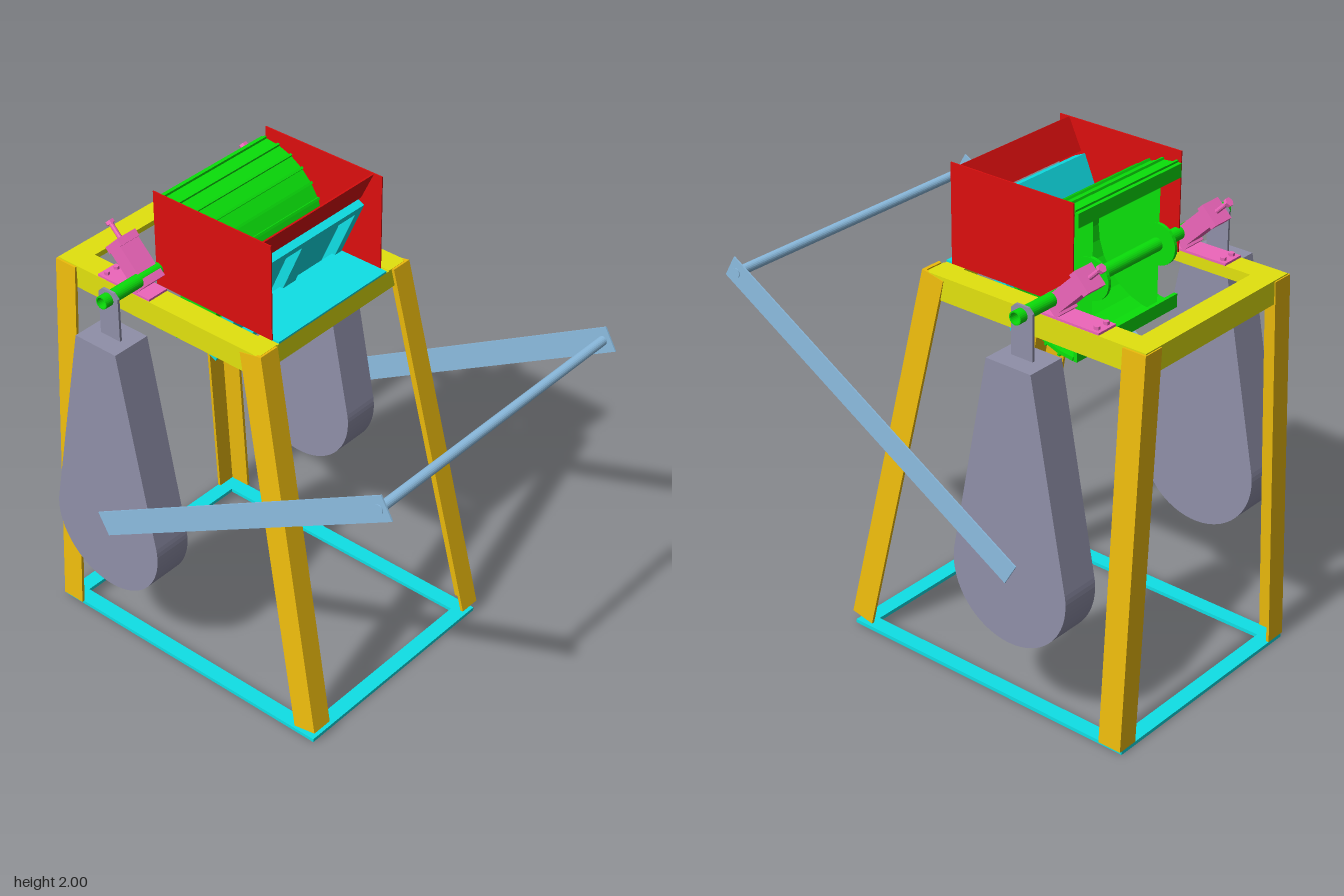
import * as THREE from 'three';

const mat = (color) => new THREE.MeshStandardMaterial({ color, side: THREE.DoubleSide, flatShading: true });
const AMBER = mat(0xeebc0c), YELLOW = mat(0xe2e20e), CYAN = mat(0x0fe0e6), RED = mat(0xdd0e0e);
const GREEN = mat(0x0ae00a), PINK = mat(0xee66bb), SLATE = mat(0x8f8fa8), BLUE = mat(0x8cbce0);

export function createModel() {
  const model = new THREE.Group();
  const add = (parent, name, geo, material, x = 0, y = 0, z = 0) => {
    const m = new THREE.Mesh(geo, material);
    m.name = name;
    m.position.set(x, y, z);
    parent.add(m);
    return m;
  };
  const group = (name, parent = model) => {
    const g = new THREE.Group();
    g.name = name;
    parent.add(g);
    return g;
  };
  // box given by its limits on each axis
  const slab = (parent, name, material, x0, x1, y0, y1, z0, z1) =>
    add(parent, name, new THREE.BoxGeometry(x1 - x0, y1 - y0, Math.abs(z1 - z0)), material,
      (x0 + x1) / 2, (y0 + y1) / 2, (z0 + z1) / 2);
  // rod along z
  const rod = (parent, name, material, r, length, x, y, z, sides = 20) =>
    add(parent, name, new THREE.CylinderGeometry(r, r, length, sides).rotateX(Math.PI / 2), material, x, y, z);

  // Base ring
  const base = group('baseRing');
  for (const s of [-1, 1]) slab(base, 'baseSideBar', CYAN, -0.9, 0.43, 0.005, 0.02, s * 0.435, s * 0.5);
  slab(base, 'baseEndBar', CYAN, 0.365, 0.43, 0.005, 0.02, -0.435, 0.435);
  slab(base, 'baseEndBar', CYAN, -0.9, -0.835, 0.005, 0.02, -0.435, 0.435);

  // Splayed legs of angle section: two flanges sheared between foot and head
  const W = 0.09, T = 0.012;
  const leg = (side, sz, foot, head) => {
    const g = group('leg');
    const flange = (w, d) => {
      const geo = new THREE.BoxGeometry(w, 1, d);
      geo.translate(-side * w / 2, 0.5, -sz * d / 2);
      const p = geo.attributes.position;
      for (let i = 0; i < p.count; i++) {
        const t = p.getY(i), tilt = side > 0 ? 0.2 * p.getX(i) : 0;
        p.setXYZ(i, p.getX(i) + foot[0] + (head[0] - foot[0]) * t,
          foot[1] + (head[1] - foot[1]) * t + tilt,
          p.getZ(i) + sz * (foot[2] + (head[2] - foot[2]) * t));
      }
      geo.computeVertexNormals();
      add(g, 'legFlange', geo, AMBER);
    };
    flange(W + 0.01, T);
    flange(T, W);
  };
  for (const s of [-1, 1]) {
    leg(-1, s, [-0.9, 0.02, 0.51], [-0.9, 1.6, 0.42]);
    leg(1, s, [0.44, 0.06, 0.505], [0.115, 1.61, 0.415]);
  }

  // Top frame of angle bars
  const frame = group('topFrame');
  for (const s of [-1, 1]) {
    slab(frame, 'railTop', YELLOW, -0.8, 0.1, 1.59, 1.605, s * 0.315, s * 0.412);
    slab(frame, 'railSide', YELLOW, -0.89, 0.09, 1.51, 1.6, s * 0.4, s * 0.412);
  }
  slab(frame, 'endTop', YELLOW, -0.895, -0.8, 1.59, 1.605, -0.412, 0.412);
  slab(frame, 'endSide', YELLOW, -0.895, -0.883, 1.51, 1.6, -0.41, 0.41);
  slab(frame, 'endTop', YELLOW, 0.01, 0.1, 1.59, 1.602, -0.315, 0.315);
  slab(frame, 'endSide', YELLOW, 0.075, 0.088, 1.51, 1.6, -0.4, 0.4);

  // Hopper: two side sheets, a sloped end sheet and a floor
  const hopper = group('hopper');
  for (const s of [-1, 1]) slab(hopper, 'hopperSide', RED, -0.49, 0.07, 1.605, 2, s * 0.3, s * 0.305);
  const end = add(hopper, 'hopperEnd', new THREE.BoxGeometry(0.135, 0.006, 0.6), RED, 0, 1.938);
  end.rotation.z = 1.12;
  slab(hopper, 'hopperFloor', CYAN, -0.13, 0.1, 1.602, 1.61, -0.3, 0.3);

  // Sloped chute board with a raised rim and centre rib
  const chute = group('chuteBoard');
  chute.position.set(-0.135, 1.628, 0);
  chute.rotation.z = 1.156;
  slab(chute, 'board', CYAN, -0.26, 0.26, 0.014, 0.026, -0.295, 0.295);
  for (const s of [-1, 1]) {
    slab(chute, 'sideRim', CYAN, -0.26, 0.26, -0.026, 0.014, s * 0.26, s * 0.295);
    add(chute, 'endRim', new THREE.BoxGeometry(0.035, 0.04, 0.52), CYAN, s * 0.2425, -0.006);
  }
  slab(chute, 'centreRib', CYAN, -0.225, 0.225, -0.026, 0.014, -0.035, 0.035);

  // Half drum of ribbed staves, open towards -x
  const AX = -0.48, AY = 1.675, R = 0.285, N = 14;
  const drum = group('drum');
  drum.position.set(AX, AY, 0);
  for (let i = 0; i < N; i++) {
    const a = -Math.PI / 2 + (i + 0.5) * Math.PI / N;
    const stave = add(drum, 'stave', new THREE.BoxGeometry(0.015, 2 * R * Math.tan(Math.PI / N / 2), 0.58), GREEN,
      (R - 0.01) * Math.cos(a), (R - 0.01) * Math.sin(a));
    stave.rotation.z = a;
    const b = a + Math.PI / N / 2;
    const rib = add(drum, 'staveRib', new THREE.BoxGeometry(0.016, 0.01, 0.58), GREEN, R * Math.cos(b), R * Math.sin(b));
    rib.rotation.z = b;
  }
  for (const s of [-1, 1]) {
    const half = new THREE.CylinderGeometry(R - 0.01, R - 0.01, 0.01, N, 1, false, 0, Math.PI).rotateX(Math.PI / 2);
    add(drum, 'drumEnd', half, GREEN, 0, 0, s * 0.19);
    rod(drum, 'hubDisc', GREEN, 0.082, 0.014, 0, 0, s * 0.19, 28);
    slab(drum, 'drumLip', GREEN, -0.02, -0.005, s > 0 ? 0.23 : -0.285, s > 0 ? 0.285 : -0.23, -0.29, 0.29);
  }

  // Hollow axle
  const pipe = new THREE.Shape().absarc(0, 0, 0.026, 0, Math.PI * 2);
  pipe.holes.push(new THREE.Path().absarc(0, 0, 0.021, 0, Math.PI * 2, true));
  add(model, 'axle', new THREE.ExtrudeGeometry(pipe, { depth: 1.2, bevelEnabled: false, curveSegments: 12 }),
    GREEN, AX, AY, -0.6);

  // Pendulum outline: tapered neck into a round bob
  const bob = new THREE.Shape();
  bob.moveTo(0.1, 1.51);
  bob.lineTo(-0.1, 1.51);
  bob.lineTo(-0.258, 0.69);
  bob.absarc(0, 0.646, 0.262, Math.PI * 0.946, Math.PI * 2.054, false);
  bob.closePath();
  const bobGeo = new THREE.ExtrudeGeometry(bob, { depth: 0.165, bevelEnabled: false, curveSegments: 24 });
  // Hanger plate with clipped corners and an axle hole
  const plate = new THREE.Shape([[-0.048, 1.5], [0.048, 1.5], [0.048, 1.69], [0.028, 1.71], [-0.028, 1.71], [-0.048, 1.69]]
    .map(([x, y]) => new THREE.Vector2(x, y)));
  plate.holes.push(new THREE.Path().absarc(0, AY, 0.025, 0, Math.PI * 2, true));
  const plateGeo = new THREE.ExtrudeGeometry(plate, { depth: 0.01, bevelEnabled: false, curveSegments: 12 });

  for (const s of [-1, 1]) {
    const pendulum = group('pendulum');
    add(pendulum, 'weight', bobGeo, SLATE, AX - 0.003, 0, s > 0 ? 0.475 : -0.64);
    add(pendulum, 'hanger', plateGeo, SLATE, AX, 0, s * 0.56 - 0.005);

    // Push handle arm
    const arm = add(model, 'handleArm', new THREE.BoxGeometry(1.584, 0.1, 0.006), BLUE, 0.19, 1.077, s * 0.644);
    arm.rotation.z = Math.atan2(0.795, 1.37);

    // Axle bearing: base plate, inclined housing and adjusting screws
    const bearing = group('bearing');
    slab(bearing, 'bearingPlate', PINK, -0.69, -0.43, 1.605, 1.614, s * 0.315, s * 0.41);
    const housing = group('bearingHousing', bearing);
    housing.position.set(-0.54, 1.71, s * 0.362);
    housing.rotation.z = Math.PI / 4;
    add(housing, 'housingCore', new THREE.BoxGeometry(0.07, 0.17, 0.094), PINK);
    for (const k of [-1, 1]) add(housing, 'housingCap', new THREE.BoxGeometry(0.09, 0.03, 0.094), PINK, 0, k * 0.085);
    add(housing, 'screw', new THREE.CylinderGeometry(0.009, 0.009, 0.08, 10), PINK, 0, 0.13);
    add(housing, 'screwHead', new THREE.CylinderGeometry(0.018, 0.018, 0.014, 6), PINK, 0, 0.168);
    for (const k of [-1, 1])
      add(bearing, 'plateBolt', new THREE.CylinderGeometry(0.012, 0.012, 0.012, 6), PINK, -0.665, 1.62, s * 0.362 + k * 0.025);
  }
  rod(model, 'handleBar', BLUE, 0.019, 1.3, 0.842, 1.455, 0);

  return model;
}
